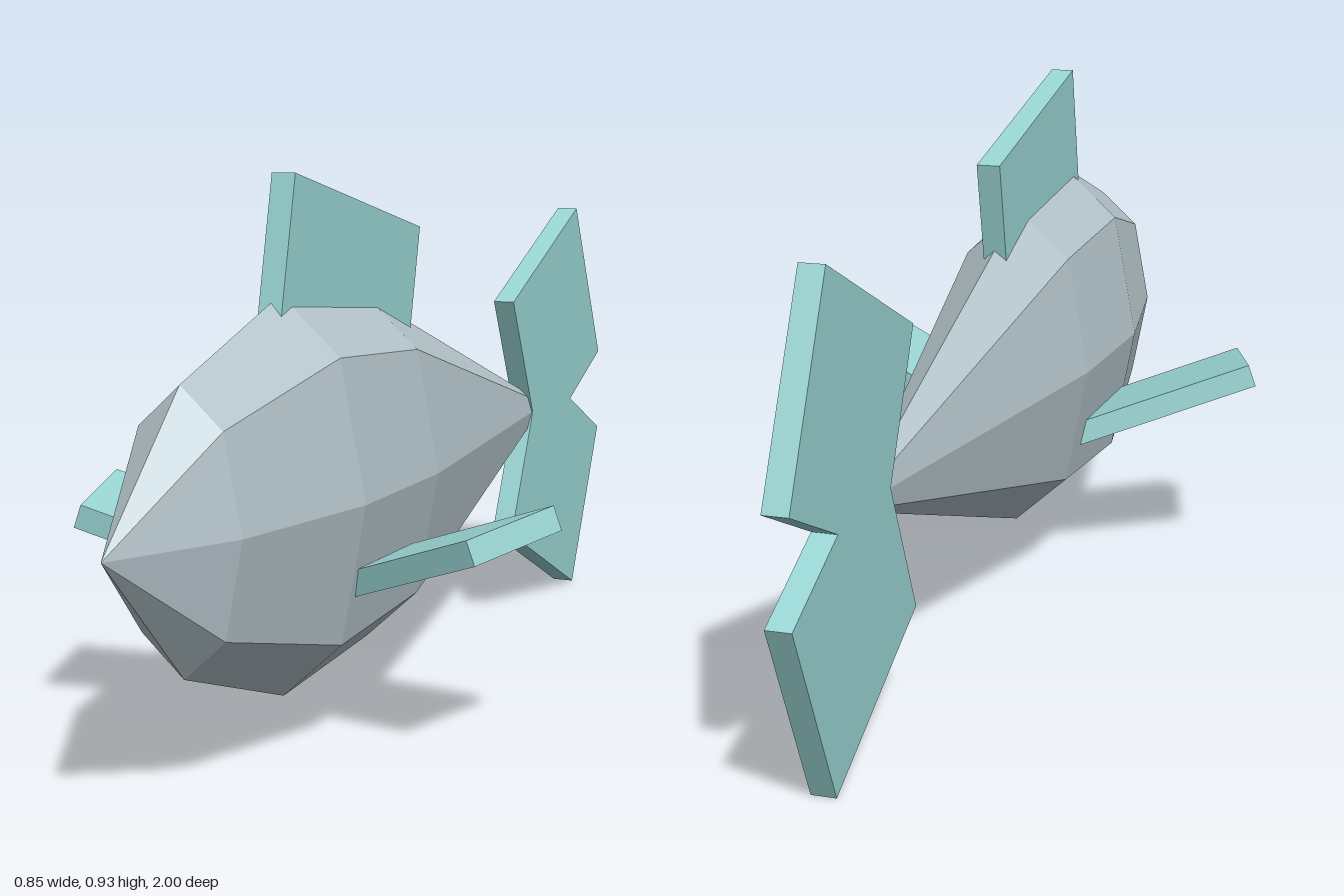
import * as THREE from 'three';

const AXIS_Y = 0.405;

export function createModel() {
  const model = new THREE.Group();
  const bodyGrey = new THREE.MeshStandardMaterial({ color: 0xb4c4ca });
  bodyGrey.name = 'bodyGrey';
  bodyGrey.flatShading = true;
  const finTeal = new THREE.MeshStandardMaterial({ color: 0x99d5d3 });
  finTeal.name = 'finTeal';

  // Faceted body: eight-sided profile along z, flattened sideways
  const profile = [[0, -0.72], [0.3, 0.15], [0.328, 0.465], [0.222, 0.78], [0, 1]]
    .map(([r, z]) => new THREE.Vector2(r, z));
  const bodyGeometry = new THREE.LatheGeometry(profile, 8);
  bodyGeometry.rotateX(Math.PI / 2);
  bodyGeometry.scale(0.457, 1, 1);
  const body = new THREE.Mesh(bodyGeometry, bodyGrey);
  body.name = 'body';
  body.position.y = AXIS_Y;
  model.add(body);

  // Every fin is a tilted slab
  function addFin(name, size, position, degrees) {
    const fin = new THREE.Mesh(new THREE.BoxGeometry(...size), finTeal);
    fin.name = name;
    fin.position.set(...position);
    fin.rotation.set(...degrees.map(THREE.MathUtils.degToRad), 'ZYX');
    model.add(fin);
  }

  addFin('dorsalFin', [0.042, 0.32, 0.492], [0, 0.714, 0.246], [-12.9, 0, 0]);

  // Mirrored tail lobes and side fins
  for (const s of [1, -1]) {
    addFin(s > 0 ? 'upperTailFin' : 'lowerTailFin',
      [0.042, 0.356, 0.398], [0, AXIS_Y + s * 0.16, -0.742], [s * 25.3, 0, 0]);
    addFin(s > 0 ? 'leftSideFin' : 'rightSideFin',
      [0.36, 0.042, 0.221], [s * 0.223, 0.309, 0.363], [0, s * -17.5, s * 20]);
  }
  return model;
}
